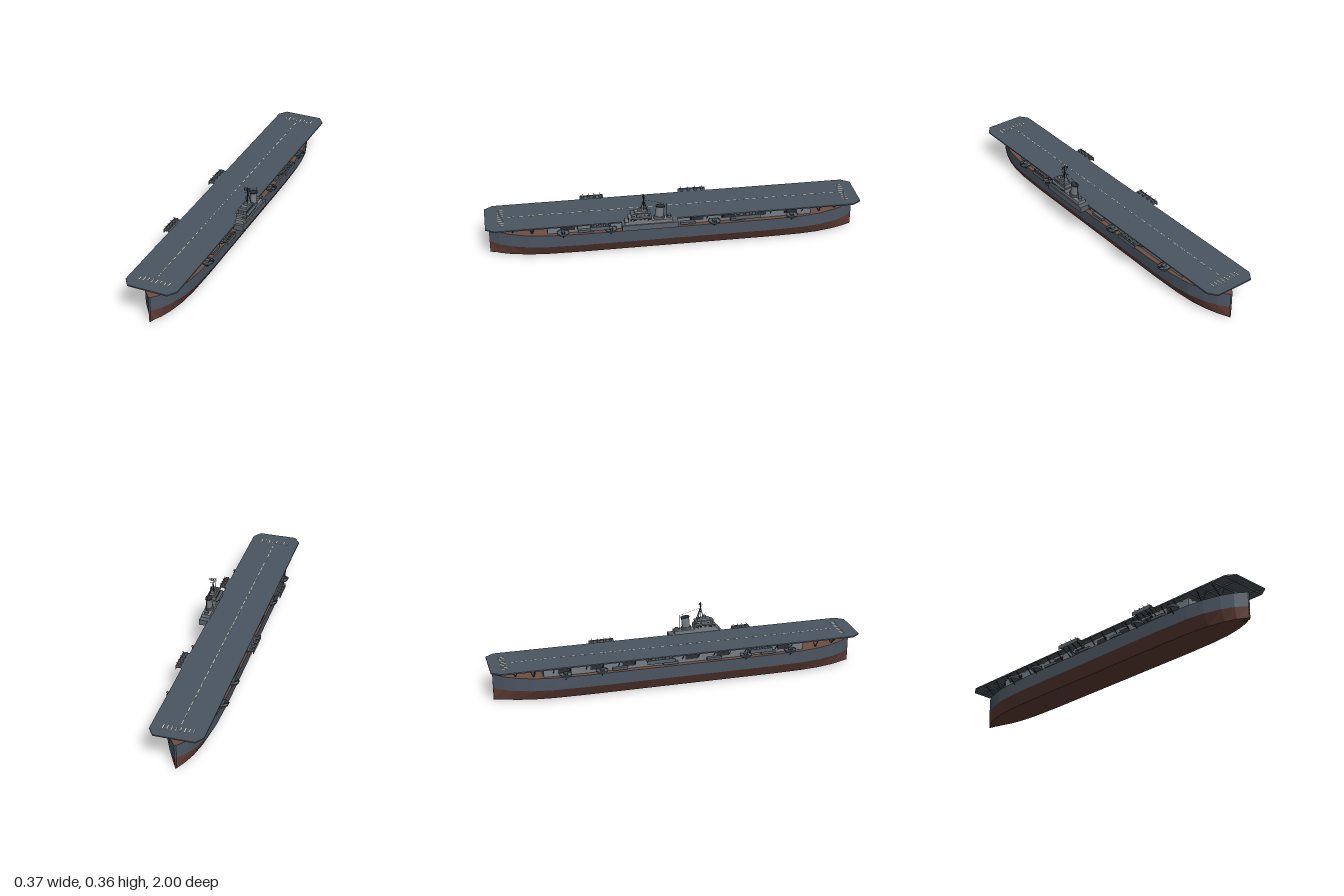
import * as THREE from 'three';

const mat = (name, color, extra = {}) => Object.assign(new THREE.MeshStandardMaterial({ color, ...extra }), { name });

export function createModel() {
  const root = new THREE.Group();
  root.name = 'aircraftCarrier';
  const M = {
    deck: mat('deckGrey', 0x4b5660),
    hull: mat('hullGrey', 0x4d5865),
    red: mat('antifoulingRed', 0x623e36),
    wood: mat('weatherDeckBrown', 0x6e4f42),
    grey: mat('superstructureGrey', 0x767d83),
    mid: mat('fittingGrey', 0x59626a),
    dark: mat('darkMetal', 0x2b3036),
    paint: mat('markingCream', 0xc9c4ae),
  };
  const CX = -0.0125; // ship centreline

  const add = (name, geo, m, x = 0, y = 0, z = 0, parent = root) => {
    const mesh = new THREE.Mesh(geo, m);
    mesh.name = name;
    mesh.position.set(x, y, z);
    parent.add(mesh);
    return mesh;
  };
  // Box given by its limits
  const box = (name, m, x0, x1, y0, y1, z0, z1) =>
    add(name, new THREE.BoxGeometry(x1 - x0, y1 - y0, z1 - z0), m, (x0 + x1) / 2, (y0 + y1) / 2, (z0 + z1) / 2);
  // Round bar between two points
  const bar = (name, m, a, b, r = 0.0018, sides = 6) => {
    const p = new THREE.Vector3(...a), q = new THREE.Vector3(...b), d = q.clone().sub(p);
    const mesh = add(name, new THREE.CylinderGeometry(r, r, d.length(), sides), m);
    mesh.position.copy(p).add(q).multiplyScalar(0.5);
    mesh.quaternion.setFromUnitVectors(new THREE.Vector3(0, 1, 0), d.normalize());
    return mesh;
  };

  // ---- Hull: one half section scaled along the stations ----
  const half = [[-0.982, 0.04], [-0.93, 0.38], [-0.87, 0.62], [-0.78, 0.84], [-0.68, 0.95], [-0.5, 1]];
  const stations = [...half, ...half.map(([z, f]) => [-z, f]).reverse()];
  const top = (z) => 0.138 + 0.008 * Math.abs(z) ** 4;
  const band = (rows) => {
    const pos = [];
    const pt = (i, k, s) => {
      const [z, f] = stations[i], [x, y] = rows[k];
      return [CX + s * x * f, y === 'top' ? top(z) : y, z];
    };
    const quad = (a, b, c, d) => pos.push(...a, ...b, ...c, ...a, ...c, ...d);
    const last = stations.length - 1;
    for (let k = 0; k < rows.length - 1; k++) {
      for (let i = 0; i < last; i++) {
        quad(pt(i, k, 1), pt(i, k + 1, 1), pt(i + 1, k + 1, 1), pt(i + 1, k, 1));
        quad(pt(i, k, -1), pt(i + 1, k, -1), pt(i + 1, k + 1, -1), pt(i, k + 1, -1));
      }
      quad(pt(last, k, -1), pt(last, k, 1), pt(last, k + 1, 1), pt(last, k + 1, -1));
      quad(pt(0, k, 1), pt(0, k, -1), pt(0, k + 1, -1), pt(0, k + 1, 1));
    }
    const g = new THREE.BufferGeometry();
    g.setAttribute('position', new THREE.Float32BufferAttribute(pos, 3));
    g.computeVertexNormals();
    return g;
  };
  add('lowerHull', band([[0, 0], [0.042, 0.002], [0.088, 0.009], [0.122, 0.069]]), M.red);
  add('upperHull', band([[0.122, 0.069], [0.127, 'top']]), M.hull);
  add('weatherDeck', band([[0.127, 'top'], [0, 'top']]), M.wood);

  // ---- Hangar with side openings ----
  box('hangar', M.grey, CX - 0.1, CX + 0.1, 0.137, 0.194, -0.73, 0.68);
  for (const s of [-1, 1]) {
    for (let i = 0; i < 8; i++) {
      const z = -0.62 + i * 0.17, x = CX + s * 0.101;
      box('hangarOpening', M.dark, x - 0.002, x + 0.002, 0.155, 0.18, z - 0.035, z + 0.035);
    }
  }

  // ---- Flight deck ----
  const outline = new THREE.Shape();
  [[-0.15, 0.955], [-0.118, 1], [0.093, 1], [0.125, 0.955], [0.125, -0.955], [0.093, -1], [-0.118, -1], [-0.15, -0.955]]
    .reverse().forEach(([x, z], i) => (i ? outline.lineTo(x, z) : outline.moveTo(x, z)));
  const slab = new THREE.ExtrudeGeometry(outline, { depth: 0.007, bevelEnabled: false });
  slab.rotateX(-Math.PI / 2);
  add('flightDeck', slab, M.deck, 0, 0.193, 0);

  // Beams under the deck
  for (let i = 0; i < 25; i++) {
    const z = -0.96 + i * 0.08;
    box('deckBeam', M.mid, CX - 0.125, CX + 0.125, 0.187, 0.194, z - 0.003, z + 0.003);
  }
  for (const s of [-1, 1]) box('deckGirder', M.mid, CX + s * 0.07 - 0.002, CX + s * 0.07 + 0.002, 0.186, 0.194, -0.97, 0.97);

  // Painted deck lines
  const stripe = (x, z, w, l) => box('deckMarking', M.paint, x - w / 2, x + w / 2, 0.1995, 0.2008, z - l / 2, z + l / 2);
  for (let i = 0; i < 34; i++) stripe(-0.015, -0.87 + i * 0.0525, 0.004, 0.032);
  for (const z of [-0.925, 0.918]) for (let i = 0; i < 8; i++) stripe(-0.09 + i * 0.022, z, 0.004, 0.03);

  // ---- Struts carrying the deck ends and sides ----
  for (const s of [-1, 1]) {
    for (const [z, w] of [[0.86, 0.06], [0.76, 0.085], [-0.78, 0.08], [-0.87, 0.055]]) {
      const foot = [CX + s * w, 0.14, z];
      bar('endStrut', M.mid, foot, [CX + s * w, 0.193, z + 0.025], 0.0025);
      bar('endStrut', M.mid, foot, [CX + s * w, 0.193, z - 0.025], 0.0025);
      bar('endBrace', M.dark, foot, [CX + s * 0.125, 0.193, z], 0.0025);
    }
    for (let i = 0; i < 16; i++) {
      const z = -0.68 + i * 0.086;
      bar('sideBrace', M.dark, [CX + s * 0.1, 0.16, z], [CX + s * 0.134, 0.193, z], 0.002);
    }
  }

  // ---- Round sponsons with twin guns ----
  const sponson = (s, z) => {
    const x = CX + s * 0.128;
    add('sponson', new THREE.CylinderGeometry(0.032, 0.028, 0.006, 16), M.mid, x, 0.153, z);
    add('sponsonShield', new THREE.CylinderGeometry(0.032, 0.032, 0.006, 16, 1, true), M.mid, x, 0.158, z)
      .material = M.shield ??= mat('shieldGrey', 0x555e66, { side: THREE.DoubleSide });
    box('gunMount', M.mid, x - 0.01, x + 0.01, 0.156, 0.167, z - 0.01, z + 0.01);
    for (const d of [-0.005, 0.005]) bar('gunBarrel', M.dark, [x, 0.163, z + d], [x + s * 0.036, 0.168, z + d], 0.0015);
    bar('sponsonBrace', M.dark, [CX + s * 0.122, 0.125, z], [x + s * 0.022, 0.151, z], 0.002);
  };
  for (const z of [-0.62, -0.43, 0.35, 0.6]) sponson(-1, z);
  for (const z of [-0.62, -0.2, 0.35, 0.6]) sponson(1, z);

  // ---- Light gun galleries at deck level ----
  const gallery = (s, z0, z1) => {
    const a = s < 0 ? -0.15 : 0.125, b = a + s * 0.035, lo = Math.min(a, b), hi = Math.max(a, b);
    box('gunGallery', M.mid, lo, hi, 0.192, 0.196, z0, z1);
    box('galleryRail', M.mid, b - 0.001, b + 0.001, 0.18, 0.202, z0, z1);
    for (let i = 0; i < 4; i++) {
      const z = z0 + (z1 - z0) * (i + 0.5) / 4, x = (a + b) / 2;
      box('lightGun', M.mid, x - 0.008, x + 0.008, 0.196, 0.207, z - 0.007, z + 0.007);
      bar('lightGunBarrel', M.dark, [x, 0.204, z], [x + s * 0.02, 0.21, z], 0.0012);
      bar('galleryBrace', M.dark, [CX + s * 0.1, 0.155, z], [a + s * 0.028, 0.192, z], 0.002);
    }
  };
  gallery(-1, -0.2, -0.05);
  gallery(-1, 0.36, 0.485);
  gallery(1, -0.44, -0.305);
  gallery(1, 0.36, 0.46);

  // Boats stowed beside the hangar
  for (const s of [-1, 1]) for (const z of [-0.33, -0.06, 0.18, 0.48]) {
    const x = CX + s * 0.113;
    box('boat', M.mid, x - 0.009, x + 0.009, 0.145, 0.158, z - 0.04, z + 0.04);
  }

  // ---- Island ----
  box('islandBase', M.mid, 0.118, 0.172, 0.17, 0.201, 0.0, 0.295);
  box('islandHouse', M.grey, 0.119, 0.166, 0.2, 0.219, 0.03, 0.28);
  box('bridgeLower', M.grey, 0.118, 0.171, 0.219, 0.24, 0.14, 0.262);
  box('bridgeWing', M.mid, 0.108, 0.181, 0.239, 0.242, 0.145, 0.25);
  box('bridgeUpper', M.grey, 0.123, 0.165, 0.242, 0.26, 0.15, 0.245);
  box('bridgeRoof', M.mid, 0.12, 0.168, 0.26, 0.263, 0.147, 0.25);
  box('directorHouse', M.grey, 0.129, 0.159, 0.263, 0.274, 0.16, 0.23);
  add('director', new THREE.CylinderGeometry(0.01, 0.012, 0.014, 12), M.mid, 0.144, 0.28, 0.2);
  for (const [y, x0, x1, zf, zb] of [[0.23, 0.118, 0.171, 0.262, 0.14], [0.251, 0.123, 0.165, 0.245, 0.15]]) {
    for (let i = 0; i < 5; i++) {
      const x = x0 + (x1 - x0) * (i + 0.5) / 5, z = zb + (zf - zb) * (i + 0.5) / 5;
      box('bridgeWindow', M.dark, x - 0.003, x + 0.003, y - 0.003, y + 0.003, zf - 0.001, zf + 0.001);
      for (const sx of [x0, x1]) box('bridgeWindow', M.dark, sx - 0.001, sx + 0.001, y - 0.003, y + 0.003, z - 0.006, z + 0.006);
    }
  }
  for (const z of [0.03, 0.14, 0.25]) bar('islandBrace', M.dark, [CX + 0.1, 0.145, z], [0.165, 0.17, z], 0.0025);
  for (const [x, e] of [[0.118, 0.106], [0.171, 0.183]]) for (const z of [0.16, 0.235])
    bar('wingBrace', M.dark, [x, 0.225, z], [e, 0.24, z], 0.0015);

  // Funnel, raked slightly aft, with a dark mouth
  const funnel = new THREE.Group();
  funnel.name = 'funnel';
  funnel.position.set(0.143, 0.215, 0.1);
  funnel.rotation.x = -0.1;
  root.add(funnel);
  const oval = (name, r, h, m, y) => { add(name, new THREE.CylinderGeometry(r, r, h, 20), m, 0, y, 0, funnel).scale.z = 1.35; };
  oval('funnelBase', 0.021, 0.02, M.mid, 0.008);
  oval('funnelBody', 0.0165, 0.074, M.grey, 0.037);
  oval('funnelCap', 0.018, 0.006, M.dark, 0.074);
  add('aftDirector', new THREE.CylinderGeometry(0.01, 0.01, 0.014, 12), M.mid, 0.143, 0.225, 0.045);

  // Tripod mast, yards and lookout frame
  const apex = [0.145, 0.335, 0.18];
  for (const foot of [[0.145, 0.262, 0.2], [0.131, 0.262, 0.16], [0.159, 0.262, 0.16]]) bar('mastLeg', M.dark, foot, apex, 0.002);
  bar('topmast', M.dark, [0.145, 0.27, 0.18], [0.145, 0.362, 0.18], 0.0018);
  bar('yard', M.dark, [0.128, 0.333, 0.18], [0.162, 0.333, 0.18], 0.0012);
  for (const y of [0.346, 0.357]) for (const z of [0.176, 0.184]) bar('radarRail', M.dark, [0.126, y, z], [0.164, y, z], 0.001);
  for (let i = 0; i < 6; i++) bar('radarPost', M.dark, [0.126 + i * 0.0076, 0.346, 0.18], [0.126 + i * 0.0076, 0.357, 0.18], 0.0009);
  for (const x of [0.13, 0.16]) bar('halyard', M.dark, [x, 0.333, 0.18], [x, 0.262, 0.17], 0.0005, 4);
  bar('aftPole', M.dark, [0.145, 0.218, 0.06], [0.145, 0.3, 0.06], 0.0013);
  bar('aerial', M.dark, [0.145, 0.333, 0.18], [0.145, 0.3, 0.06], 0.0006, 4);

  return root;
}
